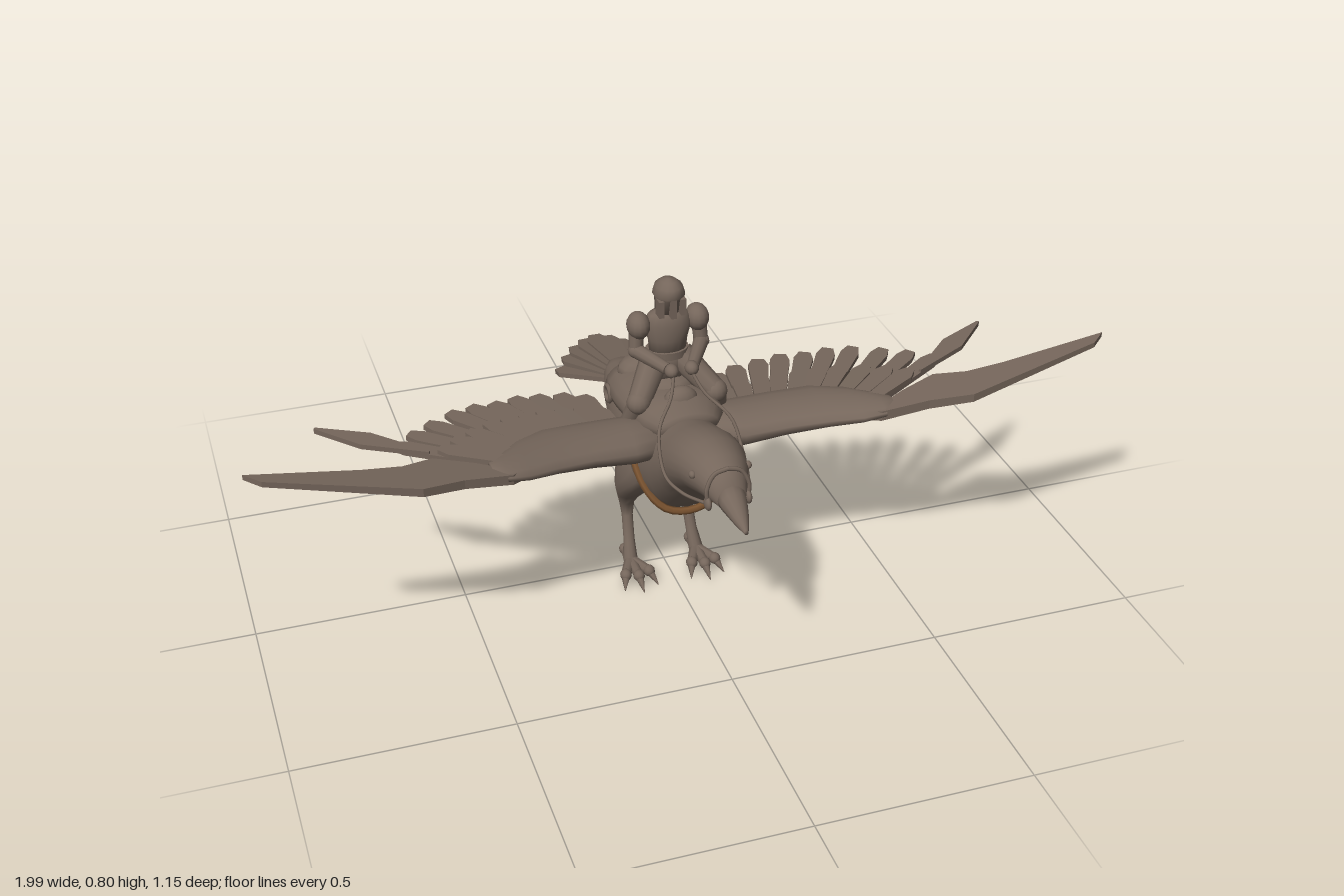
import * as THREE from 'three';

const V = (x, y, z) => new THREE.Vector3(x, y, z);

export function createModel() {
  const model = new THREE.Group();
  model.name = 'birdRider';
  const brown = new THREE.MeshStandardMaterial({ name: 'umberBrown', color: 0x75665b });
  const leather = new THREE.MeshStandardMaterial({ name: 'strapLeather', color: 0x7a5330 });

  function add(name, geo, mat = brown, parent = model) {
    const m = new THREE.Mesh(geo, mat);
    m.name = name;
    parent.add(m);
    return m;
  }

  // Smooth skin over elliptical rings [x, y, z, a, b]; the rings face one axis.
  function loft(rings, axis, n = 16) {
    const k = 'xyz'.indexOf(axis), u = (k + 1) % 3, v = (k + 2) % 3;
    if (rings[0][k] > rings[rings.length - 1][k]) rings = [...rings].reverse();
    const pos = [], idx = [];
    for (const r of rings) for (let j = 0; j < n; j++) {
      const t = j / n * Math.PI * 2, p = [r[0], r[1], r[2]];
      p[u] += r[3] * Math.cos(t);
      p[v] += r[4] * Math.sin(t);
      pos.push(...p);
    }
    for (let i = 0; i < rings.length - 1; i++) for (let j = 0; j < n; j++) {
      const a = i * n + j, b = i * n + (j + 1) % n;
      idx.push(a, b, b + n, a, b + n, a + n);
    }
    // end caps
    [0, rings.length - 1].forEach((i, e) => {
      const c = pos.length / 3;
      pos.push(rings[i][0], rings[i][1], rings[i][2]);
      for (let j = 0; j < n; j++) {
        const a = i * n + j, b = i * n + (j + 1) % n;
        e ? idx.push(c, a, b) : idx.push(c, b, a);
      }
    });
    const g = new THREE.BufferGeometry();
    g.setAttribute('position', new THREE.Float32BufferAttribute(pos, 3));
    g.setIndex(idx);
    g.computeVertexNormals();
    return g;
  }

  // Tapered round bar between two points
  function limb(name, a, b, r1, r2, n = 10, mat = brown) {
    const m = add(name, new THREE.CylinderGeometry(r2, r1, a.distanceTo(b), n), mat);
    m.position.copy(a).add(b).multiplyScalar(0.5);
    m.quaternion.setFromUnitVectors(V(0, 1, 0), b.clone().sub(a).normalize());
    return m;
  }
  function ball(name, p, sx, sy, sz) {
    const m = add(name, new THREE.SphereGeometry(1, 14, 10));
    m.position.copy(p);
    m.scale.set(sx, sy, sz);
    return m;
  }
  const tube = (name, pts, r, mat = brown, closed = false) =>
    add(name, new THREE.TubeGeometry(new THREE.CatmullRomCurve3(pts, closed), 32, r, 6, closed), mat);

  // Flat feather from root to tip, widest at the fraction "wide" of its length
  function feather(name, a, b, w0, w1, wide = 0.8, tip = 0.55, thick = 0.01) {
    const L = a.distanceTo(b), s = new THREE.Shape();
    s.moveTo(0, -w0);
    s.lineTo(L * wide, -w1);
    s.lineTo(L, -w1 * tip);
    s.lineTo(L, w1 * tip);
    s.lineTo(L * wide, w1);
    s.lineTo(0, w0);
    const g = new THREE.ExtrudeGeometry(s, { depth: thick, bevelEnabled: false }).translate(0, 0, -thick / 2);
    const X = b.clone().sub(a).normalize();
    const Y = V(0, 1, 0).cross(X).normalize(), Z = X.clone().cross(Y);
    g.applyMatrix4(new THREE.Matrix4().makeBasis(X, Y, Z).setPosition(a));
    return add(name, g);
  }

  // Body and head: [z, top, bottom, half width]
  const ringZ = ([z, top, bot, w]) => [0, (top + bot) / 2, z, w, (top - bot) / 2];
  add('body', loft([
    [-0.34, 0.39, 0.368, 0.03], [-0.3, 0.405, 0.35, 0.052], [-0.2, 0.44, 0.295, 0.082], [-0.1, 0.47, 0.268, 0.1],
    [0, 0.49, 0.252, 0.108], [0.1, 0.5, 0.242, 0.105], [0.15, 0.507, 0.25, 0.1], [0.2, 0.518, 0.283, 0.097],
    [0.25, 0.535, 0.335, 0.092], [0.3, 0.552, 0.388, 0.087], [0.36, 0.562, 0.425, 0.078], [0.42, 0.556, 0.445, 0.062],
    [0.46, 0.535, 0.452, 0.045], [0.485, 0.515, 0.455, 0.033]].map(ringZ), 'z', 24));
  add('beak', loft([[0.46, 0.527, 0.453, 0.036], [0.5, 0.508, 0.453, 0.03], [0.545, 0.486, 0.451, 0.018],
    [0.578, 0.462, 0.45, 0.005]].map(ringZ), 'z', 12));

  // Tail fan
  for (let i = -4; i <= 4; i++) {
    const k = Math.abs(i) / 4;
    feather('tailFeather', V(i * 0.008, 0.383 - k * 0.012, -0.27),
      V(i * 0.031, 0.325 - k * 0.018, -0.575 + 0.11 * k * k), 0.014, 0.03, 0.85, 0.5, 0.012);
  }

  for (const s of [1, -1]) {
    const P = (x, y, z) => V(x * s, y, z);

    // Eye
    ball('eye', P(0.064, 0.512, 0.41), 0.008, 0.009, 0.01);

    // Leg
    add('thigh', loft([[0.07, 0.38, 0.04, 0.085, 0.035], [0.074, 0.3, 0.03, 0.075, 0.045], [0.076, 0.24, 0.005, 0.05, 0.042],
      [0.076, 0.2, -0.022, 0.032, 0.03], [0.076, 0.163, -0.042, 0.019, 0.019], [0.077, 0.13, -0.036, 0.014, 0.014],
      [0.08, 0.07, -0.012, 0.013, 0.014], [0.084, 0.03, 0.01, 0.02, 0.018], [0.084, 0.012, 0.012, 0.018, 0.015]]
      .map(r => [r[0] * s, ...r.slice(1)]), 'y', 12));

    // Toes and claws
    for (const [dx, z] of [[-0.042, 0.105], [0, 0.125], [0.042, 0.105], [0, -0.065]]) {
      const root = P(0.084, 0.024, 0.012), mid = P(0.084 + dx * 0.7, 0.025, 0.012 + (z - 0.012) * 0.62);
      limb('toe', root, mid, 0.015, 0.012, 8);
      ball('toeJoint', mid, 0.014, 0.014, 0.016);
      limb('claw', mid, P(0.084 + dx, 0.004, z), 0.012, 0.001, 7);
    }

    // Wing arm
    add('wingArm', loft([[0.05, 0.45, 0.14, 0.045, 0.06], [0.13, 0.455, 0.145, 0.04, 0.082], [0.23, 0.468, 0.158, 0.034, 0.082],
      [0.32, 0.482, 0.18, 0.029, 0.085], [0.39, 0.495, 0.218, 0.024, 0.075], [0.44, 0.504, 0.25, 0.019, 0.05],
      [0.47, 0.51, 0.255, 0.01, 0.025]].map(r => [r[0] * s, ...r.slice(1)]), 'x', 14));

    // Outer wing blade, rising and thinning outwards
    const outline = [[0.41, 0.28], [0.5, 0.24], [0.59, 0.215], [0.66, 0.245], [0.75, 0.255], [0.995, 0.262],
      [0.96, 0.292], [0.635, 0.34], [0.54, 0.31], [0.43, 0.295]];
    const blade = new THREE.ExtrudeGeometry(
      new THREE.Shape(outline.map(([x, z]) => new THREE.Vector2(x * s, -z))), { depth: 1, bevelEnabled: false });
    blade.rotateX(-Math.PI / 2);
    const bp = blade.attributes.position;
    for (let i = 0; i < bp.count; i++) {
      const x = Math.abs(bp.getX(i));
      bp.setY(i, 0.502 + (x - 0.44) * 0.175 + (bp.getY(i) - 0.5) * (0.034 - 0.022 * x));
    }
    blade.computeVertexNormals();
    add('outerWing', blade);
    feather('looseFeather', P(0.585, 0.515, 0.158), P(0.81, 0.525, 0.0), 0.003, 0.026, 0.55, 0.12, 0.012);

    // Flight feathers, with a shorter row lying over them
    const tips = [[0.17, -0.1], [0.22, -0.11], [0.28, -0.107], [0.335, -0.1], [0.39, -0.077], [0.445, -0.065],
      [0.5, -0.04], [0.56, 0.005], [0.61, 0.05], [0.65, 0.1]];
    tips.forEach(([x, z], i) => {
      const t = i / 9, bx = 0.14 + 0.3 * t, bz = 0.12 + 0.11 * t * t;
      const root = P(bx, 0.452 + 0.05 * t, bz), tip = P(x, 0.437 + 0.075 * t, z);
      feather('flightFeather', root, tip, 0.014, 0.026 - 0.006 * t, 0.88, 0.6, 0.012);
      const up = V(0, 0.012, 0);
      feather('covertFeather', root.clone().add(up), root.clone().lerp(tip, 0.58).add(up), 0.016, 0.022, 0.8, 0.5);
    });

    // Saddle side ring and bridle ring
    const ring = add('saddleRing', new THREE.TorusGeometry(0.019, 0.006, 6, 16));
    ring.position.copy(P(0.11, 0.455, -0.07));
    ring.rotation.y = Math.PI / 2;
    ball('bridleRing', P(0.046, 0.466, 0.462), 0.008, 0.016, 0.016);
    tube('rein', [P(0.047, 0.462, 0.455), P(0.078, 0.45, 0.38), P(0.094, 0.458, 0.31), P(0.085, 0.53, 0.245),
      P(0.04, 0.575, 0.19), P(0.02, 0.615, 0.15)], 0.004);
    tube('cheekStrap', [P(0.046, 0.466, 0.462), P(0.048, 0.5, 0.46), P(0.03, 0.532, 0.455), P(0, 0.542, 0.455)], 0.005);

    // Rider's arms and legs
    ball('shoulderGuard', P(0.07, 0.69, 0.045), 0.027, 0.032, 0.034);
    limb('upperArm', P(0.073, 0.69, 0.042), P(0.078, 0.632, 0.05), 0.018, 0.017);
    ball('elbow', P(0.078, 0.63, 0.052), 0.019, 0.018, 0.02);
    limb('forearm', P(0.078, 0.63, 0.052), P(0.03, 0.618, 0.135), 0.018, 0.014);
    ball('hand', P(0.024, 0.617, 0.145), 0.016, 0.016, 0.019);
    limb('riderThigh', P(0.03, 0.595, 0.04), P(0.092, 0.53, 0.115), 0.034, 0.027);
    ball('knee', P(0.092, 0.53, 0.115), 0.028, 0.028, 0.028);
    limb('shin', P(0.092, 0.53, 0.115), P(0.118, 0.435, 0.075), 0.025, 0.018);
    ball('boot', P(0.12, 0.425, 0.09), 0.018, 0.016, 0.035);
  }

  // Saddle, pommel and pack
  add('saddle', loft([[0, 0.44, -0.15, 0.075, 0.03], [0, 0.455, -0.125, 0.1, 0.055], [0, 0.46, -0.08, 0.11, 0.066],
    [0, 0.475, 0, 0.116, 0.058], [0, 0.485, 0.1, 0.11, 0.06], [0, 0.495, 0.16, 0.095, 0.055],
    [0, 0.5, 0.2, 0.07, 0.03]], 'z', 20));
  ball('pommel', V(0, 0.535, 0.14), 0.04, 0.035, 0.028);
  ball('packRoll', V(0, 0.507, -0.075), 0.085, 0.04, 0.055);
  ball('seat', V(0, 0.53, 0.03), 0.065, 0.035, 0.08);

  // Chest strap and rear girth
  tube('chestStrap', [V(-0.105, 0.47, 0.06), V(-0.108, 0.41, 0.1), V(-0.095, 0.335, 0.16), V(-0.055, 0.285, 0.192),
    V(0, 0.272, 0.2), V(0.055, 0.285, 0.192), V(0.095, 0.335, 0.16), V(0.108, 0.41, 0.1), V(0.105, 0.47, 0.06)], 0.009, leather);
  for (const s of [1, -1])
    tube('saddleTrim', [V(s * 0.104, 0.4, -0.03), V(s * 0.104, 0.385, -0.06), V(s * 0.1, 0.385, -0.1)], 0.005, leather);

  // Rider's trunk
  add('hips', loft([[0, 0.555, 0.04, 0.038, 0.045], [0, 0.59, 0.04, 0.034, 0.05], [0, 0.622, 0.042, 0.032, 0.048]], 'y', 14));
  add('torso', loft([[0, 0.61, 0.042, 0.03, 0.043], [0, 0.65, 0.043, 0.034, 0.047], [0, 0.69, 0.043, 0.037, 0.058],
    [0, 0.712, 0.042, 0.027, 0.045], [0, 0.728, 0.045, 0.015, 0.018]], 'y', 16));
  add('belt', new THREE.CylinderGeometry(0.048, 0.048, 0.018, 16).scale(1.05, 1, 0.82)).position.set(0, 0.613, 0.04);

  // Helmet with brim and face guard
  add('helmet', loft([[0, 0.718, 0.04, 0.032, 0.028], [0, 0.755, 0.046, 0.036, 0.031], [0, 0.765, 0.05, 0.044, 0.037],
    [0, 0.785, 0.05, 0.037, 0.031], [0, 0.796, 0.05, 0.022, 0.018], [0, 0.801, 0.05, 0.006, 0.005]], 'y', 14));
  add('faceGuard', new THREE.BoxGeometry(0.012, 0.05, 0.03)).position.set(0, 0.742, 0.076);
  for (const s of [1, -1]) add('cheekGuard', new THREE.BoxGeometry(0.012, 0.04, 0.028)).position.set(s * 0.026, 0.738, 0.068);

  model.position.x = -0.005;
  const root = new THREE.Group();
  root.name = 'mountedRider';
  root.add(model);
  return root;
}
